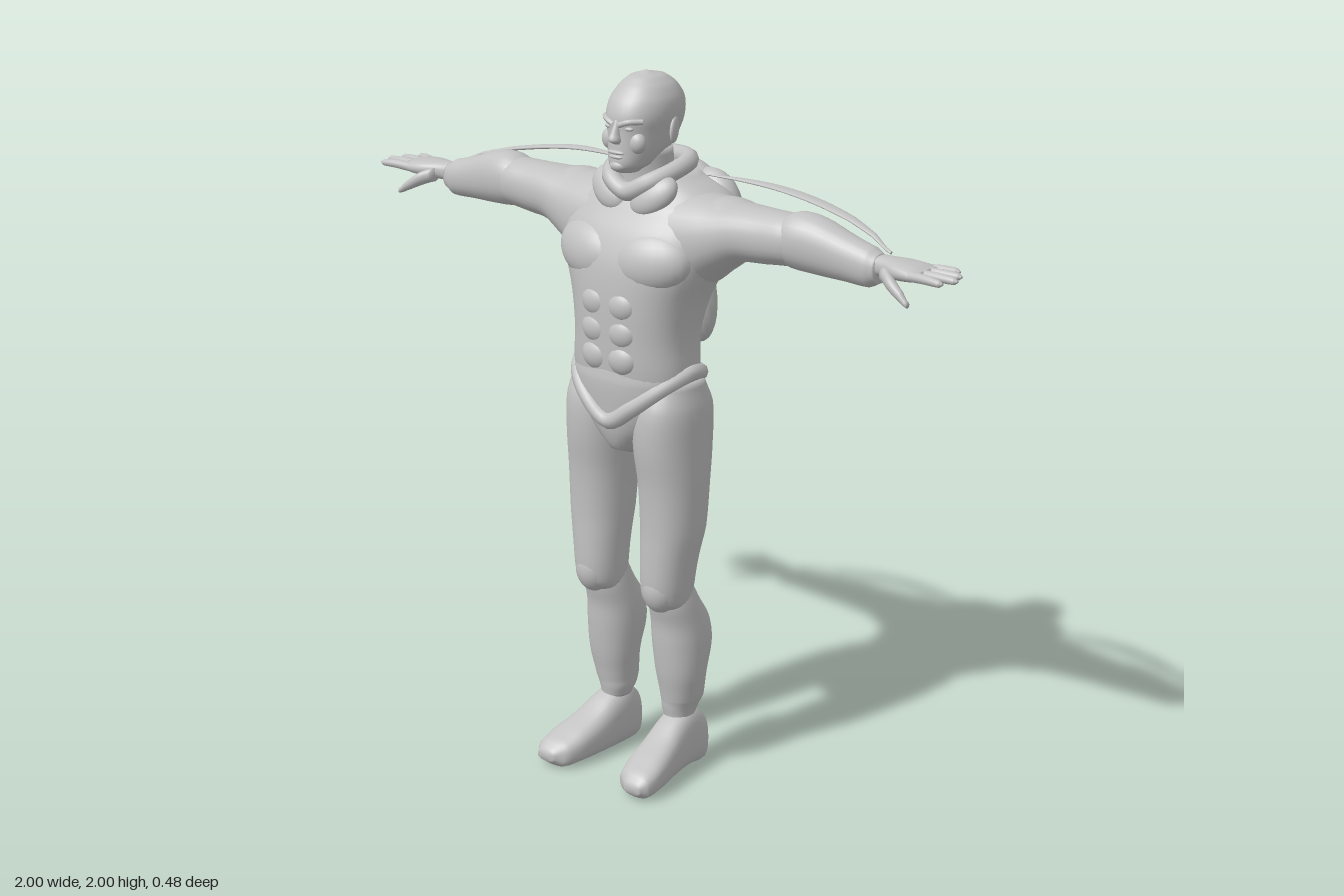
import * as THREE from 'three';

const skin = new THREE.MeshStandardMaterial({ color: 0xc2c2c2 });
skin.name = 'plain grey';

// Closed smooth skin through rows [t, u0, u1, v0, v1]; t runs along the axis, u and v are the section limits.
function loft(axis, rows, { power = 2, sub = 4, n = 28 } = {}) {
  const spline = (a, b, c, d, t) =>
    b + 0.5 * t * (c - a + t * (2 * a - 5 * b + 4 * c - d + t * (3 * (b - c) + d - a)));
  const dense = [];
  for (let i = 0; i < rows.length - 1; i++) {
    const r = k => rows[Math.min(Math.max(i + k, 0), rows.length - 1)];
    for (let s = 0; s < sub; s++)
      dense.push(rows[i].map((_, j) => j === 0
        ? THREE.MathUtils.lerp(r(0)[0], r(1)[0], s / sub)
        : spline(r(-1)[j], r(0)[j], r(1)[j], r(2)[j], s / sub)));
  }
  dense.push(rows[rows.length - 1]);
  const pos = [], idx = [];
  const put = (t, u, v) => {
    const p = axis === 'y' ? [u, t, v] : axis === 'x' ? [t, u, v] : [u, v, t];
    pos.push(p[0], Math.max(0, p[1]), p[2]);
  };
  const sq = x => Math.sign(x) * Math.abs(x) ** (2 / power);
  for (const [t, u0, u1, v0, v1] of dense)
    for (let k = 0; k < n; k++) {
      const a = k / n * Math.PI * 2;
      put(t, (u0 + u1) / 2 + sq(Math.cos(a)) * (u1 - u0) / 2, (v0 + v1) / 2 + sq(Math.sin(a)) * (v1 - v0) / 2);
    }
  const tri = (a, b, c) => axis === 'y' ? idx.push(a, c, b) : idx.push(a, b, c);
  const last = (dense.length - 1) * n, c0 = dense.length * n;
  for (const r of [dense[0], dense[dense.length - 1]]) put(r[0], (r[1] + r[2]) / 2, (r[3] + r[4]) / 2);
  for (let k = 0; k < n; k++) {
    const m = (k + 1) % n;
    for (let i = 0; i < last; i += n) { tri(i + k, i + m, i + n + m); tri(i + k, i + n + m, i + n + k); }
    tri(c0, m, k);
    tri(c0 + 1, last + k, last + m);
  }
  const g = new THREE.BufferGeometry();
  g.setAttribute('position', new THREE.Float32BufferAttribute(pos, 3));
  g.setIndex(idx);
  g.computeVertexNormals();
  return g;
}

// Ellipsoid with optional tilt
function blob(c, r, rot = [0, 0, 0]) {
  return new THREE.SphereGeometry(1, 24, 16).scale(...r).rotateX(rot[0]).rotateY(rot[1]).rotateZ(rot[2]).translate(...c);
}

function tube(points, radius, closed = false) {
  const path = new THREE.CatmullRomCurve3(points.map(p => new THREE.Vector3(...p)), closed);
  return new THREE.TubeGeometry(path, 64, radius, 10, closed);
}

// Round stud with a rim, pointing backwards
function stud(c, r) {
  const pts = [[0, 1.5], [0.45, 1.45], [0.6, 1.2], [0.6, 0.7], [1, 0.6], [1, -0.8], [0, -0.8]];
  return new THREE.LatheGeometry(pts.reverse().map(p => new THREE.Vector2(p[0] * r, p[1] * r)), 20)
    .rotateX(-Math.PI / 2).translate(...c);
}

function mirrored(geometry) {
  const g = geometry.clone().scale(-1, 1, 1);
  const i = g.index.array;
  for (let k = 0; k < i.length; k += 3) [i[k], i[k + 1]] = [i[k + 1], i[k]];
  g.computeVertexNormals();
  return g;
}

export function createModel() {
  const model = new THREE.Group();
  model.name = 'figure';
  const add = (name, g) => {
    const m = new THREE.Mesh(g, skin);
    m.name = name;
    model.add(m);
  };
  const pair = (name, g) => { add('left ' + name, g); add('right ' + name, mirrored(g)); };

  // Torso
  add('torso', loft('y', [
    [1.10, -.18, .18, -.12, .13], [1.20, -.185, .185, -.115, .145], [1.30, -.18, .18, -.125, .15],
    [1.40, -.198, .198, -.155, .15], [1.50, -.24, .24, -.19, .14], [1.58, -.26, .26, -.205, .11],
    [1.65, -.245, .245, -.205, .065], [1.69, -.19, .19, -.195, .035], [1.73, -.11, .11, -.16, .02],
  ], { power: 2.4, n: 40 }));
  pair('chest muscle', blob([.105, 1.515, .075], [.12, .085, .062], [-.25, .2, .12]));
  pair('shoulder blade', blob([.11, 1.62, -.165], [.1, .11, .06], [.1, 0, -.2]));
  pair('back muscle', blob([.085, 1.4, -.115], [.075, .16, .05], [.12, 0, .1]));
  for (const [i, y] of [1.24, 1.315, 1.39].entries())
    pair('belly muscle ' + (i + 1), blob([.045, y, .125], [.05, .045, .032]));

  // Hips, briefs and belt
  add('briefs', loft('y', [
    [.945, -.015, .015, -.04, .05], [.97, -.05, .05, -.085, .11], [1.03, -.12, .12, -.115, .135],
    [1.10, -.175, .175, -.125, .145], [1.17, -.19, .19, -.12, .15], [1.21, -.185, .185, -.11, .145],
  ], { power: 2.2, n: 36 }));
  pair('buttock', blob([.085, 1.06, -.07], [.095, .11, .072]));
  add('belt', tube([
    [0, 1.06, .135], [.08, 1.11, .128], [.15, 1.17, .085], [.18, 1.2, .01], [.145, 1.18, -.075],
    [0, 1.165, -.11], [-.145, 1.18, -.075], [-.18, 1.2, .01], [-.15, 1.17, .085], [-.08, 1.11, .128],
  ], .024, true));

  // Legs
  pair('thigh', loft('y', [
    [.50, .07, .165, -.04, .05], [.535, .057, .182, -.045, .095], [.58, .052, .19, -.05, .107],
    [.66, .048, .2, -.06, .108], [.75, .043, .214, -.08, .107], [.88, .036, .218, -.095, .113],
    [1.0, .026, .216, -.115, .128], [1.10, .03, .213, -.115, .125], [1.18, .06, .195, -.08, .09],
  ], { power: 2.2 }));
  pair('knee', blob([.122, .575, .06], [.055, .07, .05]));
  pair('shin', loft('y', [
    [.16, .078, .158, -.075, .015], [.19, .068, .165, -.09, .02], [.22, .064, .178, -.1, .025],
    [.30, .053, .194, -.1, .04], [.39, .042, .2, -.122, .05], [.46, .042, .196, -.112, .055],
    [.53, .052, .186, -.07, .07], [.60, .065, .17, -.04, .06],
  ], { power: 2.2 }));
  pair('calf stud', stud([.125, .35, -.115], .022));
  pair('foot', loft('z', [
    [-.112, .1, .15, .03, .1], [-.1, .082, .168, 0, .15], [-.05, .07, .172, 0, .185],
    [.01, .068, .18, 0, .17], [.08, .072, .194, 0, .13], [.15, .08, .208, 0, .1],
    [.205, .098, .208, 0, .075], [.232, .135, .19, .02, .05],
  ], { power: 2.6 }));

  // Arms
  pair('arm', loft('x', [
    [.12, 1.42, 1.69, -.18, .08], [.20, 1.44, 1.69, -.175, .07], [.26, 1.485, 1.685, -.16, .058],
    [.33, 1.53, 1.685, -.135, .045], [.41, 1.54, 1.685, -.12, .035], [.48, 1.548, 1.685, -.112, .03],
    [.53, 1.55, 1.68, -.108, .018],
  ], { power: 2.2 }));
  pair('forearm', loft('x', [
    [.44, 1.56, 1.67, -.1, .015], [.50, 1.545, 1.695, -.112, .026], [.57, 1.54, 1.69, -.108, .018],
    [.66, 1.537, 1.66, -.1, .002], [.73, 1.535, 1.64, -.095, -.005], [.76, 1.55, 1.625, -.085, -.015],
  ], { power: 2.2 }));
  pair('shoulder', blob([.27, 1.61, -.055], [.12, .08, .1], [0, 0, -.1]));

  // Hands
  pair('palm', loft('x', [
    [.73, 1.568, 1.625, -.08, -.02], [.78, 1.572, 1.625, -.085, -.015], [.83, 1.575, 1.625, -.1, .005],
    [.88, 1.58, 1.62, -.105, .01], [.905, 1.587, 1.613, -.1, .005],
  ], { power: 2.4 }));
  [[.955, -.09, -.112], [.985, -.062, -.076], [1, -.034, -.036], [.985, -.005, .008]].forEach(([tip, z0, z1], i) =>
    pair('finger ' + (i + 1), loft('x', [
      [.87, 1.586, 1.614, z0 - .014, z0 + .014],
      [(.87 + tip) / 2, 1.59, 1.615, (z0 + z1) / 2 - .013, (z0 + z1) / 2 + .013],
      [tip - .01, 1.592, 1.611, z1 - .01, z1 + .01], [tip, 1.598, 1.605, z1 - .004, z1 + .004],
    ], { n: 12 })));
  pair('thumb', loft('x', [
    [.79, 1.57, 1.61, -.03, .005], [.83, 1.555, 1.595, -.008, .026], [.87, 1.537, 1.567, .008, .033],
    [.895, 1.527, 1.543, .018, .034],
  ], { n: 14 }));

  // Thin curved straps behind the arms
  pair('arm strap', loft('x', [
    [.15, 1.722, 1.727, -.104, -.098], [.25, 1.717, 1.726, -.138, -.112], [.36, 1.708, 1.719, -.163, -.122],
    [.48, 1.69, 1.702, -.17, -.127], [.60, 1.668, 1.68, -.152, -.117], [.69, 1.645, 1.656, -.122, -.1],
    [.76, 1.618, 1.626, -.094, -.084],
  ], { n: 16 }));

  // Neck, hood and collar
  add('neck', loft('y', [
    [1.66, -.09, .09, -.14, .04], [1.72, -.072, .072, -.11, .04], [1.80, -.066, .066, -.1, .05],
  ]));
  add('collar', tube([
    [0, 1.685, .058], [.065, 1.715, .045], [.097, 1.74, -.02], [.085, 1.755, -.1], [0, 1.75, -.15],
    [-.085, 1.755, -.1], [-.097, 1.74, -.02], [-.065, 1.715, .045],
  ], .026, true));
  pair('collar flap', blob([.075, 1.68, .035], [.075, .05, .035], [-.4, .3, .6]));
  add('hood', blob([0, 1.685, -.15], [.13, .065, .07], [.3, 0, 0]));
  add('back stud', stud([0, 1.67, -.212], .026));

  // Head
  add('head', loft('y', [
    [1.742, -.03, .03, .02, .088], [1.762, -.052, .052, -.04, .105], [1.80, -.07, .07, -.095, .103],
    [1.85, -.082, .082, -.13, .1], [1.89, -.09, .09, -.14, .1], [1.93, -.086, .086, -.136, .085],
    [1.965, -.068, .068, -.112, .055], [1.988, -.042, .042, -.078, .025], [2, -.006, .006, -.025, -.015],
  ], { power: 2.15, n: 36 }));
  add('nose', loft('y', [
    [1.822, -.012, .012, .085, .108], [1.832, -.017, .017, .085, .125], [1.85, -.012, .012, .085, .118],
    [1.885, -.008, .008, .08, .102],
  ], { n: 14 }));
  pair('brow', tube([[.01, 1.873, .1], [.035, 1.882, .095], [.065, 1.884, .068]], .008));
  pair('eye', blob([.034, 1.864, .088], [.014, .006, .009]));
  pair('cheek', blob([.045, 1.825, .068], [.028, .03, .022]));
  add('upper lip', blob([0, 1.799, .101], [.028, .006, .009]));
  add('lower lip', blob([0, 1.787, .101], [.023, .006, .009]));
  add('chin', blob([0, 1.762, .09], [.026, .017, .02]));
  pair('ear', blob([.087, 1.85, -.035], [.009, .036, .022], [-.2, .25, 0]));

  return model;
}
